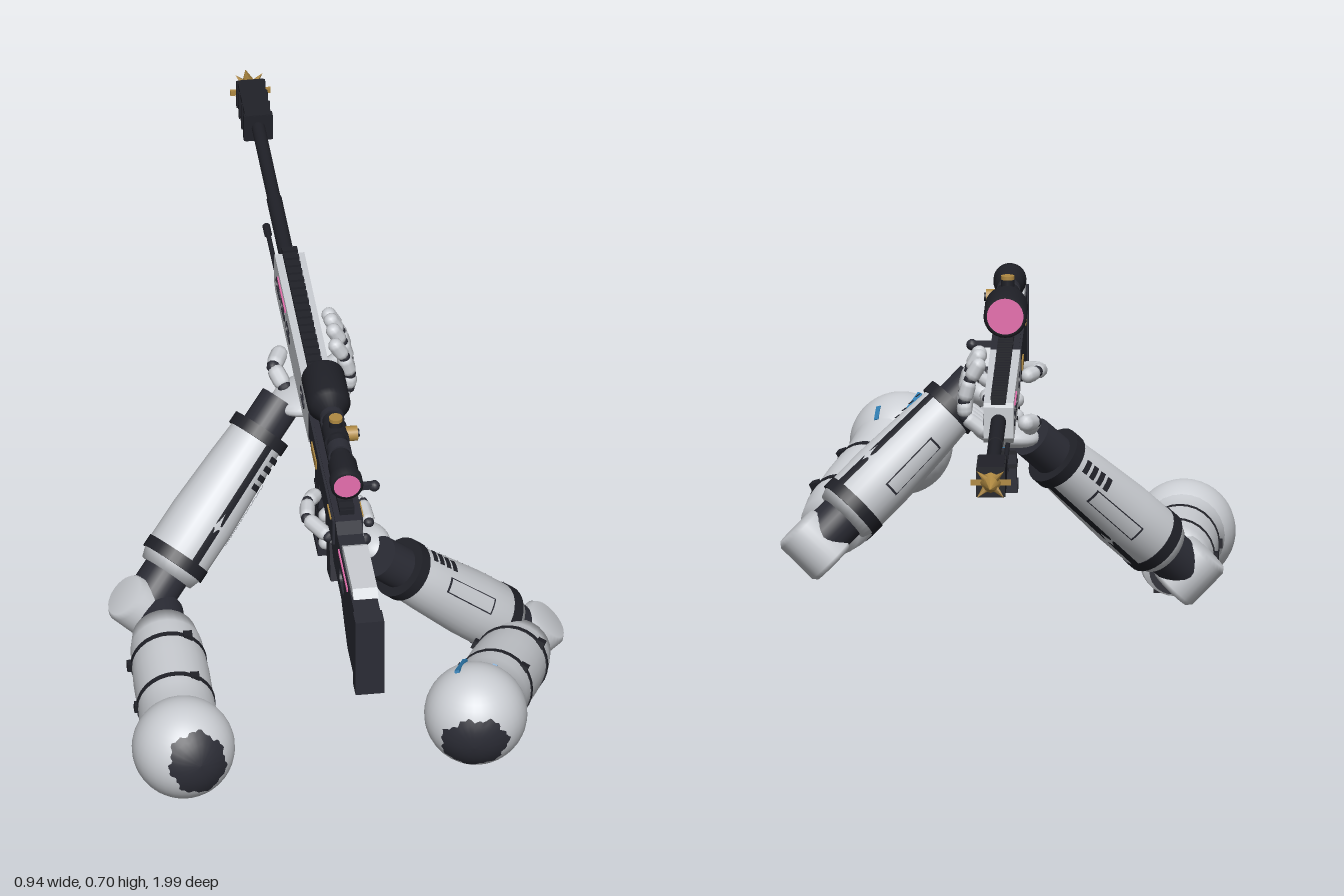
import * as THREE from 'three';

const mat = (name, color, side = THREE.FrontSide) => {
  const m = new THREE.MeshStandardMaterial({ color, side });
  m.name = name;
  return m;
};
const V = (x, y, z) => new THREE.Vector3(x, y, z);

export function createModel() {
  const white = mat('armour white', 0xcbced3);
  const dark = mat('gunmetal', 0x2b2c35);
  const black = mat('black rubber', 0x202128);
  const gold = mat('brass', 0xb08a42);
  const pink = mat('pink lens', 0xe66fae);
  const blue = mat('blue mark', 0x2f7cb0);
  const patchMat = mat('worn patch', 0x2b2c35, THREE.DoubleSide);

  const model = new THREE.Group();
  const add = (parent, name, geo, m, x = 0, y = 0, z = 0) => {
    const mesh = new THREE.Mesh(geo, m);
    mesh.name = name;
    mesh.position.set(x, y, z);
    parent.add(mesh);
    return mesh;
  };
  const box = (p, name, m, w, h, d, x, y, z) => add(p, name, new THREE.BoxGeometry(w, h, d), m, x, y, z);
  const group = (name, parent = model) => {
    const g = new THREE.Group();
    g.name = name;
    parent.add(g);
    return g;
  };
  // group whose local y runs from a to b
  const along = (parent, name, a, b) => {
    const g = group(name, parent);
    g.position.copy(a);
    g.quaternion.setFromUnitVectors(V(0, 1, 0), b.clone().sub(a).normalize());
    return g;
  };
  const lathe = (pts, n = 28) => new THREE.LatheGeometry(pts.map(([r, y]) => new THREE.Vector2(r, y)), n);
  // rounded slot drawn into a path
  const slotPath = (path, z, y, rx, ry) => {
    path.absarc(-z + rx - ry, y, ry, -Math.PI / 2, Math.PI / 2);
    path.absarc(-z - rx + ry, y, ry, Math.PI / 2, Math.PI * 1.5);
    return path;
  };
  const extrudeX = (shape, holes, width) => {
    shape.holes = holes.map(h => slotPath(new THREE.Path(), ...h));
    return new THREE.ExtrudeGeometry(shape, { depth: width, bevelEnabled: false, curveSegments: 8 })
      .translate(0, 0, -width / 2).rotateY(Math.PI / 2);
  };
  // outline in (z, y), extruded across x
  const sidePlate = (pts, width, holes = []) =>
    extrudeX(new THREE.Shape(pts.map(([z, y]) => new THREE.Vector2(-z, y))), holes, width);
  const barrelPart = (p, name, m, r, z0, z1, y, x = 0) =>
    add(p, name, new THREE.CylinderGeometry(r, r, Math.abs(z0 - z1), 20).rotateX(-Math.PI / 2), m, x, y, (z0 + z1) / 2);

  // ---- rifle: stock and receiver
  const rifle = group('rifle');
  add(rifle, 'stockAndReceiver', sidePlate([[0.96, 0.4], [0.82, 0.4], [0.77, 0.425], [0.72, 0.455], [0.6, 0.462],
    [0.56, 0.49], [0.24, 0.49], [0.24, 0.58], [0.63, 0.585], [0.66, 0.572], [0.96, 0.572]], 0.054,
  [[0.725, 0.502, 0.036, 0.018]]), dark);
  box(rifle, 'buttPad', dark, 0.06, 0.185, 0.04, 0, 0.482, 0.95);
  box(rifle, 'cheekPost', dark, 0.03, 0.02, 0.08, 0, 0.578, 0.81);
  add(rifle, 'cheekRest', sidePlate([[0.91, 0.59], [0.88, 0.581], [0.74, 0.581], [0.72, 0.59], [0.74, 0.602], [0.89, 0.604]], 0.052), white);
  box(rifle, 'upperReceiver', dark, 0.064, 0.06, 0.38, 0, 0.55, 0.43);
  for (const s of [1, -1]) {
    box(rifle, 'stockStripe', pink, 0.004, 0.007, 0.14, s * 0.028, 0.556, 0.76);
    box(rifle, 'receiverPlate', gold, 0.004, 0.021, 0.07, s * 0.033, 0.541, 0.338);
    box(rifle, 'receiverEdge', gold, 0.004, 0.004, 0.05, s * 0.033, 0.575, 0.58);
  }
  add(rifle, 'boltHandle', new THREE.SphereGeometry(0.012, 12, 8), dark, 0.075, 0.55, 0.47);
  box(rifle, 'boltArm', dark, 0.045, 0.012, 0.014, 0.05, 0.552, 0.47);

  // ---- handguard with open slots and top rail
  const slotZ = [0.14, -0.085, -0.165, -0.24];
  add(rifle, 'handguard', sidePlate([[0.24, 0.502], [-0.29, 0.502], [-0.31, 0.515], [-0.31, 0.58], [-0.3, 0.588], [0.24, 0.588]], 0.062,
    slotZ.map(z => [z, 0.545, 0.028, 0.011])), white);
  for (const z of slotZ)
    add(rifle, 'slotFrame', extrudeX(slotPath(new THREE.Shape(), z, 0.545, 0.031, 0.014), [[z, 0.545, 0.0275, 0.0105]], 0.065), dark);
  box(rifle, 'handguardStripe', pink, 0.004, 0.006, 0.12, -0.032, 0.573, -0.18);
  box(rifle, 'topRail', black, 0.03, 0.012, 0.92, 0, 0.592, 0.15);
  for (let i = 0; i < 36; i++) box(rifle, 'railTooth', black, 0.032, 0.008, 0.013, 0, 0.599, 0.6 - i * 0.0256);

  // ---- barrel, muzzle brake and spike
  barrelPart(rifle, 'barrel', black, 0.016, -0.3, -0.54, 0.55);
  barrelPart(rifle, 'barrelFront', black, 0.014, -0.54, -0.795, 0.55);
  for (const y of [0.522, 0.576]) box(rifle, 'brakeRail', black, 0.054, 0.011, 0.125, 0, y, -0.853);
  for (let i = 0; i < 4; i++) box(rifle, 'brakeBaffle', black, 0.06, 0.062, i ? 0.01 : 0.014, 0, 0.549, -0.797 - i * 0.038);
  box(rifle, 'muzzleFlange', gold, 0.084, 0.012, 0.006, 0, 0.549, -0.918);
  add(rifle, 'muzzleSpike', new THREE.ConeGeometry(0.022, 0.075, 8).rotateX(-Math.PI / 2), gold, 0, 0.549, -0.957);
  for (let i = 0; i < 4; i++) {
    const a = Math.PI * (i / 2 + 0.25), o = V(0, 0.549, -0.928);
    const t = along(rifle, 'sideThorn', o, o.clone().add(V(Math.cos(a), Math.sin(a), -0.3)));
    add(t, 'thorn', new THREE.ConeGeometry(0.012, 0.042, 6), gold, 0, 0.021, 0);
  }

  // ---- folded bipod
  for (const s of [1, -1]) {
    barrelPart(rifle, 'bipodLeg', black, 0.005, -0.2, -0.52, 0.492, s * 0.018);
    barrelPart(rifle, 'bipodFoot', black, 0.008, -0.5, -0.53, 0.49, s * 0.018);
    barrelPart(rifle, 'bipodJoint', gold, 0.008, -0.205, -0.23, 0.495, s * 0.018);
  }

  // ---- magazine, trigger guard and grip
  box(rifle, 'magazine', dark, 0.044, 0.2, 0.062, 0, 0.4, 0.3);
  box(rifle, 'magazineFoot', dark, 0.05, 0.018, 0.074, 0, 0.289, 0.3);
  for (let i = 0; i < 4; i++) box(rifle, 'magazineRib', black, 0.047, 0.008, 0.066, 0, 0.335 + i * 0.03, 0.3);
  add(rifle, 'triggerGuard', new THREE.TubeGeometry(new THREE.CatmullRomCurve3(
    [V(0, 0.49, 0.35), V(0, 0.45, 0.36), V(0, 0.443, 0.41), V(0, 0.47, 0.45)]), 16, 0.005, 6), dark);
  box(rifle, 'trigger', dark, 0.008, 0.03, 0.008, 0, 0.475, 0.4);
  box(rifle, 'pistolGrip', dark, 0.046, 0.15, 0.058, 0, 0.42, 0.48).rotation.x = -0.25;

  // ---- scope
  const scope = group('scope');
  scope.position.set(0, 0.66, 0.61);
  add(scope, 'scopeBody', lathe([[0.026, 0], [0.034, 0], [0.034, 0.025], [0.03, 0.03], [0.03, 0.075], [0.021, 0.1], [0.021, 0.235],
    [0.038, 0.275], [0.045, 0.285], [0.045, 0.38], [0.036, 0.38]]).rotateX(-Math.PI / 2), black);
  add(scope, 'rearLens', new THREE.CircleGeometry(0.028, 28), pink, 0, 0, 0.001);
  add(scope, 'frontLens', new THREE.CircleGeometry(0.038, 28).rotateY(Math.PI), pink, 0, 0, -0.3805);
  add(scope, 'turretTop', new THREE.CylinderGeometry(0.014, 0.014, 0.03, 16), black, 0, 0.022, -0.18);
  add(scope, 'turretCap', new THREE.CylinderGeometry(0.014, 0.014, 0.008, 16), gold, 0, 0.041, -0.18);
  add(scope, 'turretSide', new THREE.CylinderGeometry(0.016, 0.016, 0.046, 16).rotateZ(Math.PI / 2), gold, 0.022, 0, -0.18);
  add(scope, 'turretSideCap', new THREE.CylinderGeometry(0.009, 0.009, 0.006, 16).rotateZ(Math.PI / 2), black, 0.046, 0, -0.18);
  barrelPart(scope, 'turretBlock', black, 0.026, -0.155, -0.205, 0);
  for (const z of [-0.12, -0.245]) {
    box(scope, 'scopeMount', dark, 0.032, 0.045, 0.025, 0, -0.036, z);
    barrelPart(scope, 'scopeRing', dark, 0.025, z + 0.014, z - 0.014, 0);
  }

  // ---- arms
  const ring = (p, name, m, r, y, h) => add(p, name, new THREE.CylinderGeometry(r, r, h, 28), m, 0, y, 0);
  // curved plate centred on angle a
  const panel = (p, name, m, r0, r1, y, h, a, w) =>
    add(p, name, new THREE.CylinderGeometry(r1, r0, h, 8, 1, true, a - w / 2, w), m, 0, y, 0);

  function arm(name, shoulder, upperEnd, elbow, wrist, patchDir, seed, bands, panels, straps, vents) {
    const g = group(name);
    add(g, 'shoulder', new THREE.SphereGeometry(0.107, 36, 24), white).position.copy(shoulder);
    // jagged worn patch wrapped over the shoulder
    const pg = new THREE.RingGeometry(0.001, 1, 64, 5), p = pg.attributes.position;
    for (let i = 0; i < p.count; i++) {
      const f = Math.atan2(p.getY(i), p.getX(i)), rho = Math.hypot(p.getX(i), p.getY(i));
      const t = rho * (0.64 + 0.06 * Math.sin(f * 2 + seed) + 0.04 * Math.sin(f * 7 + seed) + 0.03 * Math.sin(f * 19));
      p.setXYZ(i, 0.109 * Math.sin(t) * Math.cos(f), 0.109 * Math.sin(t) * Math.sin(f), 0.109 * Math.cos(t));
    }
    pg.computeVertexNormals();
    const patch = add(g, 'shoulderPatch', pg, patchMat);
    patch.position.copy(shoulder);
    patch.quaternion.setFromUnitVectors(V(0, 0, 1), patchDir.normalize());

    // upper arm shell with bands
    const upper = along(g, 'upperArm', shoulder, upperEnd), L = shoulder.distanceTo(upperEnd);
    add(upper, 'upperShell', lathe([[0.09, 0.05], [0.084, 0.08], [0.08, 0.12], [0.08, L * 0.5], [0.075, L * 0.72], [0.066, L * 0.82], [0, L * 0.83]]), white);
    for (const t of bands) {
      ring(upper, 'upperBand', black, 0.085 - 0.009 * t, L * t, 0.011);
      for (let i = 0; i < 3; i++) {
        const a = i * Math.PI * 2 / 3 + 0.5;
        box(upper, 'bandClip', black, 0.018, 0.018, 0.018, Math.sin(a) * 0.078, L * t, Math.cos(a) * 0.078);
      }
    }
    ring(upper, 'elbowNeck', dark, 0.048, L * 0.88, L * 0.2);

    // elbow hinge, square to both limbs
    const axis = wrist.clone().sub(elbow).cross(shoulder.clone().sub(elbow)).normalize();
    const hinge = along(g, 'elbow', elbow, elbow.clone().add(axis));
    add(hinge, 'elbowDrum', lathe([[0, -0.055], [0.046, -0.055], [0.054, -0.045], [0.054, 0.045], [0.046, 0.055], [0, 0.055]]), white);

    // forearm
    const fore = along(g, 'forearm', elbow, wrist), F = elbow.distanceTo(wrist);
    ring(fore, 'foreNeck', dark, 0.05, F * 0.13, F * 0.2);
    add(fore, 'foreShell', lathe([[0, F * 0.17], [0.06, F * 0.18], [0.07, F * 0.24], [0.07, F * 0.45], [0.064, F * 0.7], [0.058, F * 0.88], [0.05, F * 0.9], [0, F * 0.9]]), white);
    ring(fore, 'foreBand', black, 0.0718, F * 0.25, 0.026);
    ring(fore, 'wristBand', black, 0.065, F * 0.88, 0.026);
    ring(fore, 'wrist', dark, 0.045, F * 0.97, F * 0.16);
    for (const a of panels) {
      panel(fore, 'panelFrame', dark, 0.0712, 0.067, F * 0.56, F * 0.3, a, 0.5);
      panel(fore, 'panelInset', white, 0.0722, 0.0682, F * 0.56, F * 0.28, a, 0.43);
    }
    for (const a of straps) panel(fore, 'strap', black, 0.0725, 0.0625, F * 0.57, F * 0.6, a, 0.26);
    for (const a of vents)
      for (let k = 0; k < 4; k++) panel(fore, 'vent', black, 0.0672, 0.0655, F * (0.68 + k * 0.045), F * 0.026, a, 0.45);
    return g;
  }
  const elbowT = V(0.4, 0.127, 0.46), shoulderT = V(0.232, 0.255, 0.885);
  const triggerArm = arm('triggerArm', shoulderT, elbowT, elbowT, V(0.085, 0.435, 0.575), V(-0.16, -0.1, 1), 1,
    [0.34, 0.65], [0.85, 3.6], [2.3, 4.9], [1.6]);
  const supportArm = arm('supportArm', V(-0.357, 0.107, 0.725), V(-0.345, 0.115, 0.26), V(-0.38, 0.12, 0.255),
    V(-0.075, 0.435, 0.03), V(0.2, 0.2, 0.9), 4, [0.31, 0.61], [1.4, 3.35], [0.25, 2.5], [0.75, 3.95]);
  for (const d of [V(-0.27, 1, -0.45), V(0.45, 0.7, -0.55)]) {
    const mark = along(triggerArm, 'shoulderMark', shoulderT, shoulderT.clone().add(d));
    box(mark, 'blueStripe', blue, 0.01, 0.006, d.x < 0 ? 0.08 : 0.035, 0, 0.105, 0).rotation.y = -0.3;
  }

  // ---- hands: fingers are chains of capsules with dark joints
  const finger = (p, name, pts, r = 0.016) => {
    for (let i = 0; i < pts.length - 1; i++) {
      const len = pts[i].distanceTo(pts[i + 1]);
      const s = along(p, name, pts[i], pts[i + 1]);
      add(s, 'fingerSegment', new THREE.CapsuleGeometry(r, Math.max(0.004, len - 1.7 * r), 4, 10), white, 0, len / 2, 0);
      add(s, 'knuckle', new THREE.SphereGeometry(r * 0.8, 10, 8), dark);
    }
  };
  const palm = (p, a, b, w, t) => {
    const s = along(p, 'palm', a, b), len = a.distanceTo(b);
    add(s, 'palmShell', new THREE.SphereGeometry(1, 20, 14).scale(t, len * 0.62, w), white, 0, len / 2, 0);
  };

  const support = group('supportHand', supportArm);
  palm(support, V(-0.065, 0.45, 0.02), V(0.05, 0.468, 0.015), 0.07, 0.026);
  for (let i = 0; i < 4; i++) {
    const z = -0.045 + i * 0.036, h = i === 0 || i === 3 ? -0.012 : 0;
    finger(support, 'finger', [V(0.03, 0.47, z), V(0.076, 0.505, z), V(0.078, 0.55 + h, z), V(0.066, 0.595 + h, z), V(0.042, 0.637 + h, z)]);
  }
  finger(support, 'thumb', [V(-0.05, 0.47, 0), V(-0.068, 0.495, -0.04), V(-0.045, 0.5, -0.09)], 0.018);
  add(support, 'handGuardPlate', sidePlate([[0, 0.462], [-0.1, 0.47], [-0.15, 0.485], [-0.15, 0.5], [0, 0.5]], 0.05), white);
  box(support, 'palmMark', blue, 0.035, 0.008, 0.01, -0.01, 0.432, 0.017);

  const trigger = group('triggerHand', triggerArm);
  palm(trigger, V(0.075, 0.445, 0.56), V(0.04, 0.44, 0.47), 0.03, 0.042);
  for (let i = 0; i < 3; i++) {
    const y = 0.375 + i * 0.035;
    finger(trigger, 'finger', [V(0.045, y, 0.47), V(0.04, y, 0.425), V(0, y, 0.405), V(-0.03, y, 0.425)]);
  }
  finger(trigger, 'indexFinger', [V(0.06, 0.48, 0.5), V(0.055, 0.487, 0.44), V(0.02, 0.475, 0.405)], 0.014);
  finger(trigger, 'thumb', [V(0.045, 0.475, 0.55), V(-0.03, 0.485, 0.545), V(-0.068, 0.495, 0.49), V(-0.06, 0.5, 0.44), V(-0.035, 0.495, 0.405)], 0.016);
  box(trigger, 'handMark', blue, 0.009, 0.03, 0.012, 0.09, 0.428, 0.495);

  return model;
}
